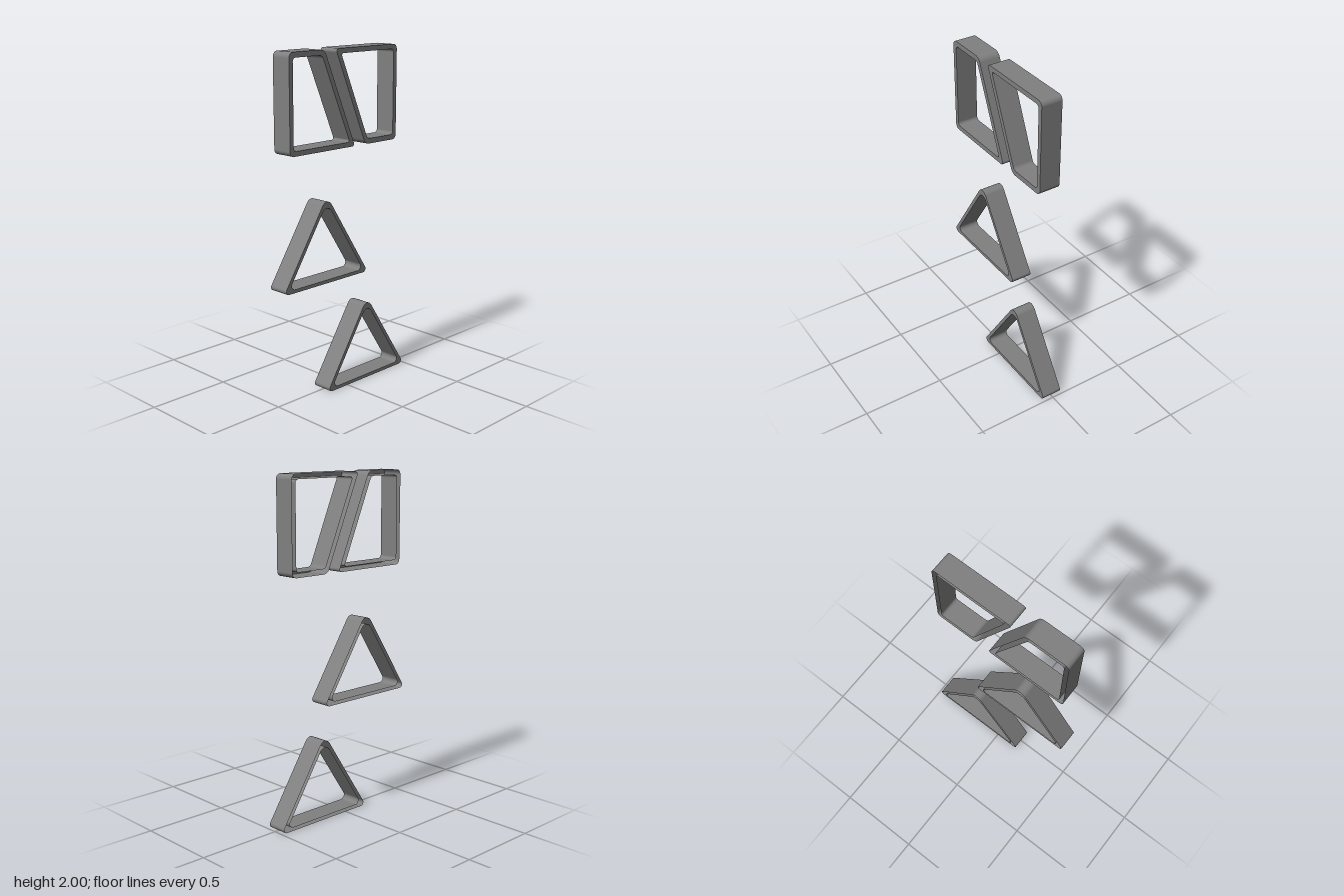
import * as THREE from 'three';
import { mergeGeometries } from 'three/addons/utils/BufferGeometryUtils.js';

const HALF_DEPTH = 0.063;
const material = new THREE.MeshStandardMaterial({ color: 0x808080, side: THREE.DoubleSide });

// Rounded outline from counterclockwise corners [x, y, radius]; keeps each point's outward normal
function roundedOutline(corners, steps = 8) {
  const out = [];
  corners.forEach(([x, y, r], i) => {
    const n = corners.length;
    const p = corners[(i + n - 1) % n], q = corners[(i + 1) % n];
    const a0 = Math.atan2(y - p[1], x - p[0]) - Math.PI / 2;
    let turn = Math.atan2(q[1] - y, q[0] - x) - Math.PI / 2 - a0;
    if (turn < 0) turn += Math.PI * 2;
    const mid = a0 + turn / 2, d = r / Math.cos(turn / 2);
    const cx = x - d * Math.cos(mid), cy = y - d * Math.sin(mid);
    for (let k = 0; k <= steps; k++) {
      const a = a0 + (turn * k) / steps;
      const nx = Math.cos(a), ny = Math.sin(a);
      out.push({ x: cx + r * nx, y: cy + r * ny, nx, ny });
    }
  });
  return out;
}

// Smooth wall that follows an outline from back to front
function wall(points, facing) {
  const pos = [], nor = [], uv = [], idx = [];
  const n = points.length;
  points.forEach((p, i) => {
    for (const z of [-HALF_DEPTH, HALF_DEPTH]) {
      pos.push(p.x, p.y, z);
      nor.push(p.nx * facing, p.ny * facing, 0);
      uv.push(i / n, z);
    }
    const a = 2 * i, b = 2 * ((i + 1) % n);
    if (facing > 0) idx.push(a, b, b + 1, a, b + 1, a + 1);
    else idx.push(a, b + 1, b, a, a + 1, b + 1);
  });
  const g = new THREE.BufferGeometry();
  g.setAttribute('position', new THREE.Float32BufferAttribute(pos, 3));
  g.setAttribute('normal', new THREE.Float32BufferAttribute(nor, 3));
  g.setAttribute('uv', new THREE.Float32BufferAttribute(uv, 2));
  g.setIndex(idx);
  return g;
}

// Hollow frame: outer wall, inner wall and front rim, open at the back
function frameGeometry(outerCorners, innerCorners) {
  const outer = roundedOutline(outerCorners), inner = roundedOutline(innerCorners);
  const to2 = (pts) => pts.map((p) => new THREE.Vector2(p.x, p.y));
  const shape = new THREE.Shape(to2(outer));
  shape.holes.push(new THREE.Path(to2(inner)));
  const rim = new THREE.ShapeGeometry(shape).translate(0, 0, HALF_DEPTH);
  return mergeGeometries([wall(outer, 1), wall(inner, -1), rim]);
}

export function createModel() {
  const model = new THREE.Group();
  const add = (name, geometry, x, y, turn = 0) => {
    const mesh = new THREE.Mesh(geometry, material);
    mesh.name = name;
    mesh.position.set(x, y, 0);
    mesh.rotation.z = turn;
    model.add(mesh);
  };

  // Two equal triangular frames, base on y = 0
  const triangle = frameGeometry(
    [[-0.334, 0, 0.02], [0.334, 0, 0.02], [0, 0.513, 0.042]],
    [[-0.296, 0.02, 0.025], [0.296, 0.02, 0.025], [0, 0.475, 0.042]]
  );
  add('lowerTriangleFrame', triangle, 0.167, 0);
  add('upperTriangleFrame', triangle, -0.167, 0.678);

  // Two equal slanted frames, one turned half way round about their shared centre
  const slanted = frameGeometry(
    [[-0.423, -0.278, 0.03], [0.077, -0.278, 0.016], [-0.162, 0.278, 0.045], [-0.423, 0.278, 0.03]],
    [[-0.396, -0.25, 0.02], [0.034, -0.25, 0.012], [-0.18, 0.248, 0.03], [-0.396, 0.248, 0.02]]
  );
  add('rightSlantedFrame', slanted, -0.02, 1.722);
  add('leftSlantedFrame', slanted, -0.02, 1.722, Math.PI);

  return model;
}
